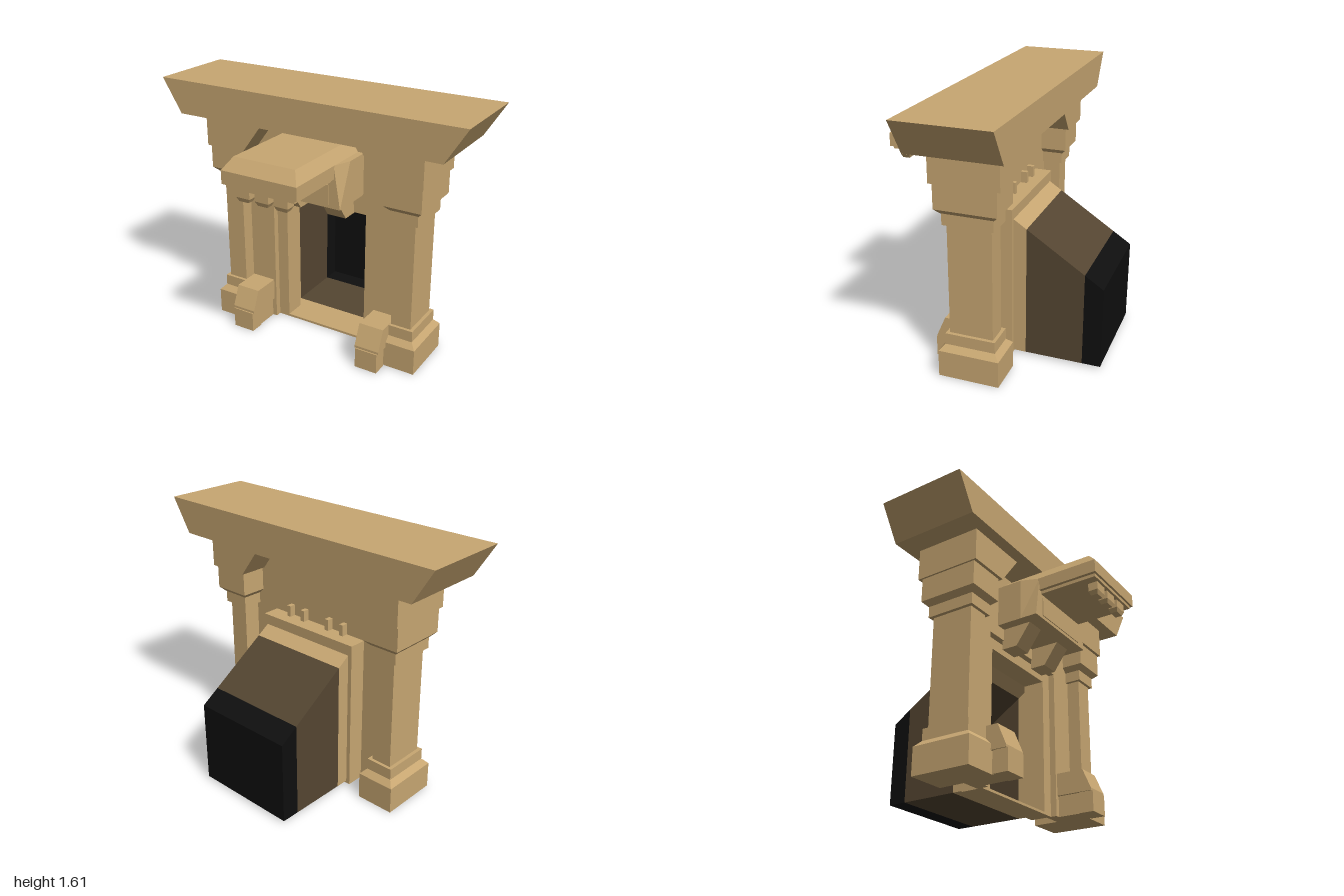
import * as THREE from 'three';

const stone = new THREE.MeshStandardMaterial({ color: 0xc8a772 });
stone.name = 'sandstone';
const soot = new THREE.MeshStandardMaterial({ color: 0x554632, side: THREE.DoubleSide });
soot.name = 'sooty brown';
const black = new THREE.MeshStandardMaterial({ color: 0x0f0f0f, side: THREE.DoubleSide });
black.name = 'soot black';
const lining = new THREE.MeshStandardMaterial({ color: 0xc8a772, side: THREE.DoubleSide });
lining.name = 'sandstone lining';

export function createModel() {
  const model = new THREE.Group();
  const add = (name, geo, mat = stone) => {
    const m = new THREE.Mesh(geo, mat);
    m.name = name;
    model.add(m);
    return m;
  };
  // Box given by its limits; edit(v, top, front) can move corners
  const block = (name, x0, x1, y0, y1, z0, z1, edit) => {
    let g = new THREE.BoxGeometry(x1 - x0, y1 - y0, z1 - z0);
    if (edit) {
      g = g.toNonIndexed();
      const p = g.attributes.position, v = new THREE.Vector3();
      for (let i = 0; i < p.count; i++) {
        v.fromBufferAttribute(p, i);
        edit(v, v.y > 0, v.z > 0);
        p.setXYZ(i, v.x, v.y, v.z);
      }
      g.computeVertexNormals();
    }
    g.translate((x0 + x1) / 2, (y0 + y1) / 2, (z0 + z1) / 2);
    return add(name, g);
  };
  const shape = (pts) => new THREE.Shape(pts.map(([x, y]) => new THREE.Vector2(x, y)));
  const extrude = (s, z0, z1) =>
    new THREE.ExtrudeGeometry(s, { depth: z1 - z0, bevelEnabled: false }).translate(0, 0, z0);
  // Profile drawn in (z, y), extruded between two x values
  const sideExtrude = (pts, x0, x1) =>
    extrude(shape(pts.map(([z, y]) => [-z, y])), x0, x1).rotateY(Math.PI / 2);
  // Wall with a doorway reaching the floor
  const arch = (w, h, ow, oh) =>
    shape([[-w, 0], [-ow, 0], [-ow, oh], [ow, oh], [ow, 0], [w, 0], [w, h], [-w, h]]);

  // Mantel slab, wall and recessed surround
  add('mantelShelf', extrude(shape([[-0.87, 1.4], [0.87, 1.4], [1, 1.61], [-1, 1.61]]), -0.29, 0.27));
  add('wall', extrude(arch(0.56, 1.4, 0.36, 0.95), -0.03, 0.04));
  add('surround', extrude(arch(0.36, 0.95, 0.285, 0.88), -0.14, 0));
  block('sill', -0.285, 0.285, 0, 0.015, -0.14, 0);

  // Columns, corbels and feet, mirrored
  const cz = -0.0075;
  for (const s of [-1, 1]) {
    const cx = s * 0.604;
    const tier = (name, hx, hz, y0, y1, topX = hx, topZ = hz) =>
      block(name, cx - hx, cx + hx, y0, y1, cz - hz, cz + hz, (v, top) => {
        if (top) { v.x *= topX / hx; v.z *= topZ / hz; }
      });
    tier('columnPlinth', 0.12, 0.186, 0, 0.165);
    tier('plinthBevel', 0.12, 0.186, 0.165, 0.2, 0.087, 0.153);
    tier('columnBase', 0.087, 0.153, 0.2, 0.27);
    tier('columnShaft', 0.065, 0.133, 0.27, 0.95);
    tier('columnNeck', 0.087, 0.153, 0.95, 1.02);
    tier('capitalBevel', 0.09, 0.156, 1.02, 1.05, 0.12, 0.186);
    tier('capital', 0.12, 0.186, 1.05, 1.2);

    const corbel = [[0.468, 1.2], [0.735, 1.2], [0.735, 1.4], [0.318, 1.4]].map(([x, y]) => [s * x, y]);
    add('corbel', extrude(shape(corbel), -0.217, 0.198));

    const foot = [[0.04, 0.13], [0.275, 0.13], [0.275, 0.145], [0.22, 0.272], [0.04, 0.272]];
    add('footCap', sideExtrude(foot, s * 0.455 - 0.08, s * 0.455 + 0.08));
    block('footBlock', s * 0.455 - 0.073, s * 0.455 + 0.073, 0, 0.13, 0.19, 0.283);
    block('footCore', s * 0.455 - 0.065, s * 0.455 + 0.065, 0, 0.13, 0.04, 0.19);

    // Sloping bracket under the hood, with its pegs behind the wall
    const bracket = [[0.03, 0.892], [0.13, 0.892], [0.225, 1.025], [0.03, 1.025]];
    add('hoodBracket', sideExtrude(bracket, s * 0.158 - 0.062, s * 0.158 + 0.062));
    for (const x of [0.1, 0.215]) block('bracketPeg', s * x - 0.014, s * x + 0.014, 0.95, 1.02, -0.07, -0.02);
  }

  // Projecting hood
  block('hoodSupportBack', -0.285, 0.285, 1.025, 1.285, 0.03, 0.2);
  block('hoodSupport', -0.285, 0.285, 1.025, 1.285, 0.2, 0.31, (v, top, front) => {
    if (top && front) v.x *= 0.85;
  });
  block('supportPanel', -0.21, 0.21, 1.045, 1.165, 0.31, 0.315);
  block('hoodSlab', -0.245, 0.245, 1.205, 1.285, 0.03, 0.688);
  block('hoodTop', -0.245, 0.245, 1.285, 1.355, 0.03, 0.688, (v, top, front) => {
    if (top) { v.x *= 0.815; if (front) v.z -= 0.06; }
  });
  block('hoodUnderplate', -0.225, 0.225, 1.185, 1.205, 0.2, 0.675);
  for (const x of [-0.125, 0, 0.125]) {
    block('dentil', x - 0.045, x + 0.045, 1.135, 1.185, 0.6, 0.66);
    block('dentilTip', x - 0.045, x + 0.045, 1.11, 1.135, 0.6, 0.66, (v, top) => {
      if (!top) { v.x *= 0.7; v.z *= 0.7; }
    });
  }

  // Hollow firebox: rectangular bands whose roof slopes down to the back
  const W = 0.335, Y0 = 0.015;
  const roof = (z) => 0.885 + (z + 0.14) * 0.655;
  const ring = (z) => [[-W, Y0, z], [W, Y0, z], [W, roof(z), z], [-W, roof(z), z]];
  const quads = (list) => {
    const pos = [];
    for (const [a, b, c, d] of list) pos.push(...a, ...b, ...c, ...a, ...c, ...d);
    const g = new THREE.BufferGeometry();
    g.setAttribute('position', new THREE.Float32BufferAttribute(pos, 3));
    g.computeVertexNormals();
    return g;
  };
  const band = (z0, z1) => {
    const f = ring(z0), b = ring(z1);
    return f.map((p, i) => [p, b[i], b[(i + 1) % 4], f[(i + 1) % 4]]);
  };
  add('fireboxThroat', quads(band(-0.14, -0.22)), lining);
  add('fireboxWalls', quads(band(-0.22, -0.575)), soot);
  add('fireboxBack', quads([...band(-0.575, -0.688), ring(-0.688).reverse()]), black);

  return model;
}
